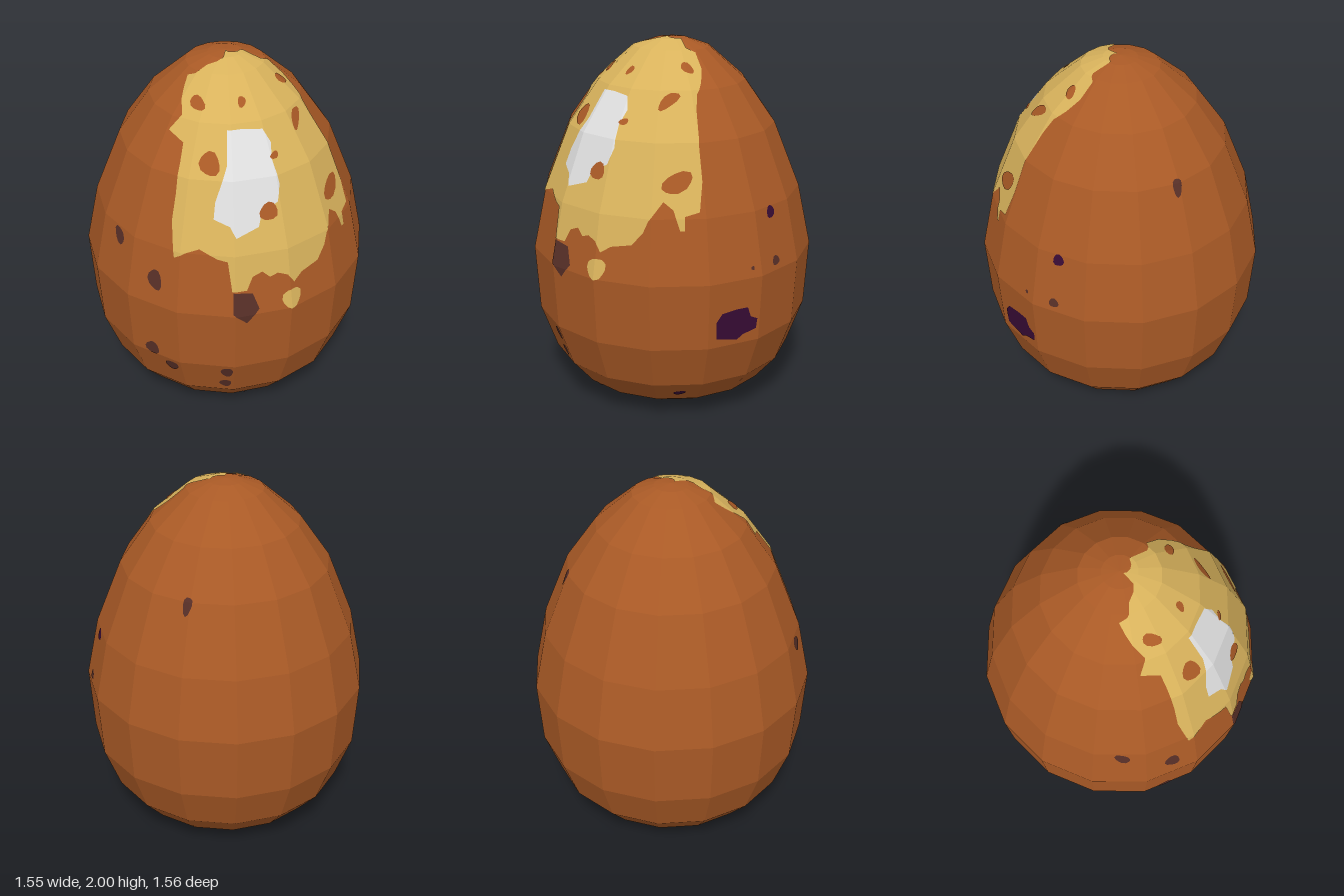
import * as THREE from 'three';

const SIDES = 16, STEP = (2 * Math.PI) / SIDES, MID_Y = 0.85;
// Egg profile as [radius, height], bottom to top
const PROFILE = [[0, 0.02], [0.25, 0], [0.39, 0.03], [0.55, 0.12], [0.67, 0.265], [0.757, 0.51],
  [0.777, 0.87], [0.705, 1.2], [0.563, 1.55], [0.4, 1.78], [0.205, 1.95], [0.09, 1.99], [0, 2]];
const WALL = PROFILE.slice(2);

const material = (name, color) => {
  const m = new THREE.MeshStandardMaterial({ color });
  m.name = name;
  return m;
};

// Radius at a height, and height at a radius on the upper half
function radiusAt(y) {
  for (let i = 1; i < WALL.length; i++) {
    const [r0, y0] = WALL[i - 1], [r1, y1] = WALL[i];
    if (y <= y1) return r0 + (r1 - r0) * (y - y0) / (y1 - y0);
  }
  return 0;
}
function heightAt(r) {
  for (let i = WALL.length - 1; i > 0; i--) {
    const [r0, y0] = WALL[i - 1], [r1, y1] = WALL[i];
    if (r <= r0) return y1 + (y0 - y1) * (r - r1) / (r0 - r1);
  }
  return MID_Y;
}

// Locate a surface point as [angle, height] from the front, the left flank or the top
const ratio = (d, y) => THREE.MathUtils.clamp(d / (0.99 * radiusAt(y)), -1, 1);
const front = (x, y) => [Math.asin(ratio(x, y)), y];
const flank = (z, y) => [Math.acos(ratio(z, y)), y];
const top = (x, z) => [Math.atan2(x, z), heightAt(Math.hypot(x, z))];

const outline = (view, pts) => pts.map(([a, b]) => view(a, b));

// Slightly irregular rounded spot
function spot(view, a, b, w, h) {
  const pts = [];
  for (let i = 0; i < 12; i++) {
    const t = i * Math.PI / 6, k = 0.5 + 0.045 * Math.sin(3 * t + a * 20);
    pts.push(view(a + w * k * Math.cos(t), b + h * k * Math.sin(t)));
  }
  return pts;
}

// Keep the part of a polygon on one side of an axis-aligned line
function clip(poly, axis, limit, sign) {
  const out = [];
  poly.forEach((p, i) => {
    const q = poly[(i + 1) % poly.length];
    const dp = sign * (p[axis] - limit), dq = sign * (q[axis] - limit);
    if (dp >= 0) out.push(p);
    if (dp * dq < 0) {
      const t = dp / (dp - dq);
      out.push([p[0] + (q[0] - p[0]) * t, p[1] + (q[1] - p[1]) * t]);
    }
  });
  return out;
}

// Cut each outline along the egg's facets and lay the pieces just above them
function paint(name, mat, lift, outlines) {
  const pos = [];
  for (const poly of outlines) {
    for (let k = -8; k < 8; k++) {
      const column = clip(clip(poly, 0, k * STEP, 1), 0, (k + 1) * STEP, -1);
      if (column.length < 3) continue;
      for (let j = 1; j < WALL.length; j++) {
        const cell = clip(clip(column, 1, WALL[j - 1][1], 1), 1, WALL[j][1], -1);
        if (cell.length < 3) continue;
        const flat = cell.map(([a, y]) => new THREE.Vector2(a, y));
        if (Math.abs(THREE.ShapeUtils.area(flat)) < 1e-7) continue;
        if (THREE.ShapeUtils.isClockWise(flat)) flat.reverse();
        for (const tri of THREE.ShapeUtils.triangulateShape(flat, [])) {
          for (const i of tri) {
            const { x: a, y } = flat[i];
            const r = lift * radiusAt(y) * Math.cos(STEP / 2) / Math.cos(a - (k + 0.5) * STEP);
            pos.push(r * Math.sin(a), MID_Y + (y - MID_Y) * lift, r * Math.cos(a));
          }
        }
      }
    }
  }
  const geo = new THREE.BufferGeometry();
  geo.setAttribute('position', new THREE.Float32BufferAttribute(pos, 3));
  geo.computeVertexNormals();
  const mesh = new THREE.Mesh(geo, mat);
  mesh.name = name;
  return mesh;
}

export function createModel() {
  const group = new THREE.Group();
  group.name = 'speckledEgg';
  const brown = material('shell brown', 0xaa5a26);
  const yellow = material('honey yellow', 0xd9b35c);
  const white = material('highlight white', 0xdedede);
  const dark = material('dark brown', 0x572f27);
  const purple = material('deep purple', 0x380c35);
  brown.flatShading = true;

  // Faceted shell, standing on the two sides of its foot ring
  const shellGeo = new THREE.LatheGeometry(PROFILE.map(([r, y]) => new THREE.Vector2(r, y)), SIDES);
  const p = shellGeo.attributes.position;
  for (let i = 0; i < p.count; i++) {
    if (p.getY(i) < 0.001) p.setY(i, 0.022 * (1 - Math.abs(p.getX(i)) / 0.25));
  }
  const shell = new THREE.Mesh(shellGeo, brown);
  shell.name = 'shell';
  group.add(shell);

  // Dripping yellow patch: right edge and drips, left edge, then over the crown
  const patch = [
    ...outline(front, [[-0.225, 1.86], [-0.235, 1.79], [-0.3, 1.72], [-0.235, 1.685], [-0.255, 1.6],
      [-0.28, 1.47], [-0.305, 1.34], [-0.3, 1.165], [-0.245, 1.2], [-0.175, 1.225], [-0.085, 1.18],
      [-0.035, 1.17], [-0.015, 1.01], [0.06, 1.01], [0.09, 1.08], [0.14, 1.1], [0.18, 1.065],
      [0.22, 1.08], [0.27, 1.06], [0.305, 1.01], [0.35, 1.045], [0.44, 1.065], [0.475, 1.13],
      [0.485, 1.19]]),
    ...outline(flank, [[0.43, 1.28], [0.4, 1.24], [0.39, 1.14], [0.37, 1.14], [0.36, 1.21], [0.29, 1.23],
      [0.245, 1.37], [0.22, 1.53], [0.165, 1.69], [0.13, 1.76], [0.075, 1.81]]),
    ...outline(top, [[0.3, 0.03], [0.22, 0.01], [0.18, 0.04], [0.08, 0.002], [0, 0.02], [-0.1, 0.12],
      [-0.16, 0.15], [-0.2, 0.13], [-0.22, 0.18]]),
  ];
  group.add(paint('yellowPatch', yellow, 1.004, [patch, spot(front, 0.295, 0.925, 0.1, 0.11)]));

  // White shine
  group.add(paint('whiteShine', white, 1.006, [outline(front, [[-0.02, 1.755], [0.06, 1.755],
    [0.155, 1.745], [0.195, 1.685], [0.195, 1.62], [0.23, 1.51], [0.22, 1.43], [0.14, 1.385],
    [0.125, 1.325], [0.01, 1.285], [-0.02, 1.34], [-0.1, 1.37], [-0.09, 1.45], [-0.055, 1.54],
    [-0.025, 1.615]])]));

  // Shell-coloured spots showing through the patch
  group.add(paint('patchSpots', brown, 1.008, [
    [-0.155, 1.84, 0.075, 0.05], [0.06, 1.85, 0.04, 0.04], [-0.11, 1.615, 0.1, 0.1],
    [0.335, 1.73, 0.05, 0.08], [0.21, 1.63, 0.045, 0.03], [0.175, 1.39, 0.09, 0.085],
    [0.52, 1.365, 0.08, 0.105],
  ].map((s) => spot(front, ...s)).concat([spot(flank, 0.105, 1.87, 0.055, 0.05)])));

  // Dark brown speckles on the shell
  group.add(paint('darkSpeckles', dark, 1.004, [
    outline(front, [[-0.01, 1.005], [0.09, 0.99], [0.125, 0.9], [0.06, 0.82], [-0.01, 0.885]]),
    ...[[-0.58, 1.15, 0.045, 0.09], [-0.405, 1.01, 0.07, 0.11], [-0.435, 0.55, 0.07, 0.085],
      [-0.33, 0.455, 0.07, 0.08], [-0.04, 0.455, 0.065, 0.085], [-0.045, 0.34, 0.065, 0.065],
      [0.07, 0.125, 0.02, 0.02]].map((s) => spot(front, ...s)),
    spot(flank, -0.12, 0.92, 0.055, 0.05),
    spot(flank, 0.05, 0.92, 0.02, 0.02),
    spot(top, 0.23, -0.52, 0.05, 0.04),
  ]));

  // Purple blotches on the left flank
  group.add(paint('purpleBlotches', purple, 1.004, [
    outline(flank, [[0.25, 0.655], [0.22, 0.7], [0.14, 0.71], [0.075, 0.71], [0.055, 0.655],
      [0.015, 0.635], [0.02, 0.58], [0.095, 0.56], [0.13, 0.535], [0.245, 0.56]]),
    spot(flank, -0.12, 1.17, 0.06, 0.065),
    spot(flank, 0.325, 0.19, 0.055, 0.035),
  ]));
  return group;
}
